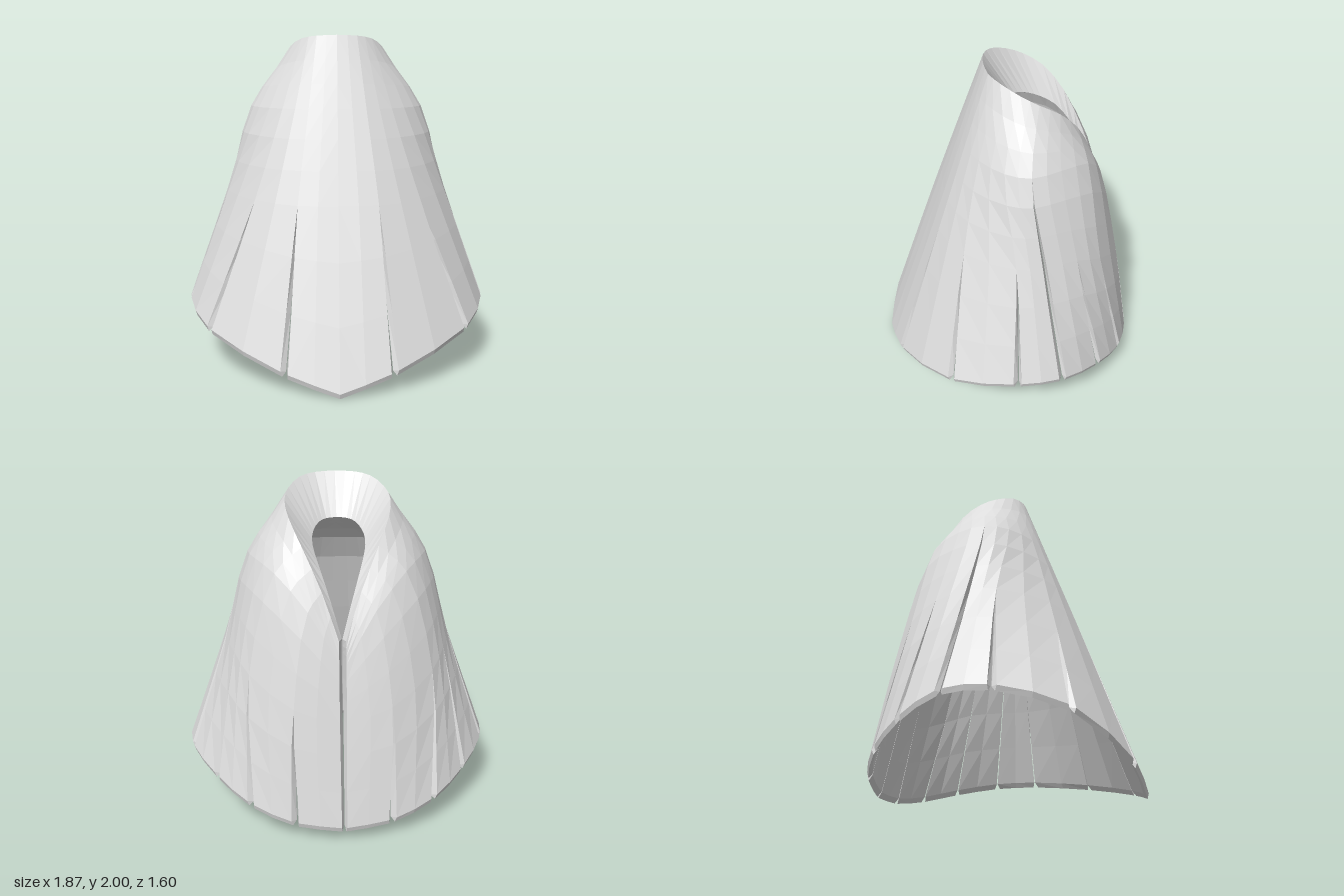
import * as THREE from 'three';

// Cross-section loops for one half, from front centre round to the back seam.
// Each point sits on the line of a slit.
const V = (x, y, z) => new THREE.Vector3(x, y, z);
const rim = [
  V(0, 2, 0.13), V(0.12, 1.995, 0.115), V(0.21, 1.98, 0.06), V(0.28, 1.935, -0.04), V(0.305, 1.885, -0.14),
  V(0.285, 1.81, -0.26), V(0.215, 1.67, -0.38), V(0.11, 1.44, -0.49), V(0.02, 1.18, -0.58)];
const shoulder = [
  V(0, 1.57, 0.275), V(0.17, 1.57, 0.26), V(0.325, 1.57, 0.195), V(0.47, 1.57, 0.07), V(0.53, 1.57, -0.07),
  V(0.48, 1.57, -0.24), V(0.37, 1.53, -0.415), V(0.19, 1.34, -0.54), V(0.02, 1.05, -0.61)];
const waist = [
  V(0, 1.03, 0.455), V(0.235, 1.03, 0.44), V(0.49, 1.04, 0.31), V(0.675, 1.05, 0.03), V(0.68, 1.05, -0.13),
  V(0.62, 1.03, -0.33), V(0.53, 0.95, -0.49), V(0.28, 0.8, -0.655), V(0.02, 0.72, -0.68)];
const hem = [
  V(0, 0.03, 0.8), V(0.31, 0.13, 0.735), V(0.765, 0.295, 0.435), V(0.925, 0.37, 0.05), V(0.91, 0.365, -0.22),
  V(0.75, 0.29, -0.475), V(0.545, 0.2, -0.66), V(0.285, 0.13, -0.77), V(0.015, 0.1, -0.8)];

const LAST = 8;
const ROWS = 9;
const COLS = 2;
const SLIT_HALF = 0.024;
const INNER_OPENING = 0.12; // slits narrow to almost nothing at the lining

// Inner lining: the loops moved towards the axis, closing at the seam
const closeSeam = (loop) => { loop[LAST].x = 0.002; return loop; };
const inset = (loop, t) => closeSeam(loop.map((p) => {
  const k = 1 - t / Math.hypot(p.x, p.z + 0.15);
  return V(p.x * k, p.y, (p.z + 0.15) * k - 0.15);
}));
const innerRim = closeSeam(rim.map((p) => V(p.x * 0.5, 1.18 + (p.y - 1.18) * 0.7, p.z * 0.72 - 0.125)));

// Surface through four loops: u runs round (0..8), v runs down (0..1)
function loft(loops) {
  const curves = loops.map((l) => new THREE.CatmullRomCurve3(l, false, 'centripetal'));
  return (u, v) => {
    const t = THREE.MathUtils.clamp(u / LAST, 0, 1);
    const column = curves.map((c) => c.getPoint(t));
    return new THREE.CatmullRomCurve3(column, false, 'centripetal').getPoint(v);
  };
}
const outer = loft([rim, shoulder, waist, hem]);
const inner = loft([innerRim, inset(shoulder, 0.07), inset(waist, 0.04), inset(hem, 0.03)]);

// The fourth slit reaches higher than the rest
const slitTop = (k) => (k === 4 ? 1 / 3 : 2 / 3);

// Half the slit opening, measured in u
function slitGap(k, v) {
  if (k === 0 || k === LAST) return 0;
  const open = Math.max(0, (v - slitTop(k)) / (1 - slitTop(k)));
  const speed = outer(k + 0.05, v).distanceTo(outer(k - 0.05, v)) / 0.1;
  return (SLIT_HALF * open) / speed;
}

// One closed slab between slit k and slit k + 1
function panelGeometry(k, side) {
  const pos = [];
  const tri = (a, b, c) => {
    for (const p of side > 0 ? [a, b, c] : [a, c, b]) pos.push(p.x * side, p.y, p.z);
  };
  const quad = (a, b, c, d) => { tri(a, b, c); tri(a, c, d); };

  const O = [], I = [];
  for (let r = 0; r <= ROWS; r++) {
    const v = r / ROWS;
    const g0 = slitGap(k, v);
    const g1 = slitGap(k + 1, v);
    const row = (surface, opening) => Array.from({ length: COLS + 1 }, (_, c) =>
      surface(THREE.MathUtils.lerp(k + g0 * opening, k + 1 - g1 * opening, c / COLS), v));
    O.push(row(outer, 1));
    I.push(row(inner, INNER_OPENING));
  }
  // steep bevelled lip under the hem
  const lip = O[ROWS].map((p, c) => p.clone().lerp(I[ROWS][c], 0.3).add(V(0, -0.03, 0)));

  for (let c = 0; c < COLS; c++) {
    const d = c + 1;
    for (let r = 0; r < ROWS; r++) {
      quad(O[r][c], O[r + 1][c], O[r + 1][d], O[r][d]);
      quad(I[r][c], I[r][d], I[r + 1][d], I[r + 1][c]);
    }
    quad(O[0][c], O[0][d], I[0][d], I[0][c]);
    quad(O[ROWS][c], lip[c], lip[d], O[ROWS][d]);
    quad(lip[c], I[ROWS][c], I[ROWS][d], lip[d]);
  }
  // walls of the slits and of the back seam
  for (let r = 0; r < ROWS; r++) {
    const v = (r + 0.5) / ROWS;
    if (k > 0 && v > slitTop(k)) quad(I[r][0], I[r + 1][0], O[r + 1][0], O[r][0]);
    if (k + 1 === LAST || v > slitTop(k + 1)) quad(O[r][COLS], O[r + 1][COLS], I[r + 1][COLS], I[r][COLS]);
  }
  if (k > 0) tri(I[ROWS][0], lip[0], O[ROWS][0]);
  tri(O[ROWS][COLS], lip[COLS], I[ROWS][COLS]);

  const g = new THREE.BufferGeometry();
  g.setAttribute('position', new THREE.Float32BufferAttribute(pos, 3));
  g.computeVertexNormals();
  return g;
}

export function createModel() {
  const cloth = new THREE.MeshStandardMaterial({ color: 0xdedede, flatShading: true });
  cloth.name = 'light grey cloth';

  const cape = new THREE.Group();
  cape.name = 'slitCape';
  for (const side of [1, -1]) {
    const half = new THREE.Group();
    half.name = side > 0 ? 'leftHalf' : 'rightHalf';
    for (let k = 0; k < LAST; k++) {
      const panel = new THREE.Mesh(panelGeometry(k, side), cloth);
      panel.name = k === 0 ? 'frontPanel' : k === LAST - 1 ? 'backPanel' : `sidePanel${k}`;
      half.add(panel);
    }
    cape.add(half);
  }
  return cape;
}
